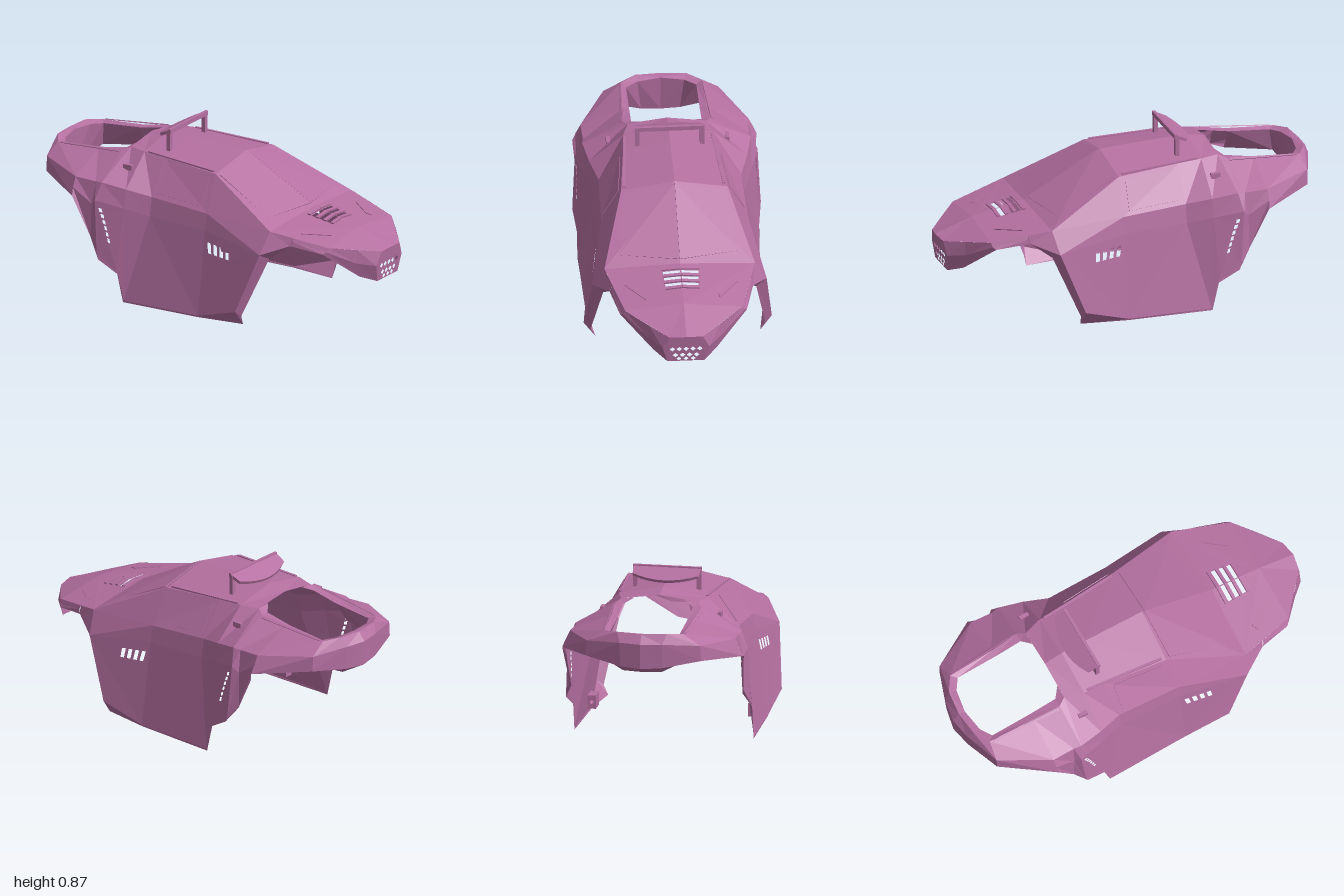
import * as THREE from 'three';

const paint = new THREE.MeshStandardMaterial({ color: 0xb570a1, side: THREE.DoubleSide, flatShading: true });
paint.name = 'mauvePaint';

const mix = (a, b, t) => a.map((v, i) => v + (b[i] - v) * t);
const across = (a, b, c, d, u, v) => mix(mix(a, b, u), mix(d, c, u), v);

// triangles of one four-cornered panel a-b-c-d, with optional holes given in its own 0..1 space
function cell(a, b, c, d, holes) {
  if (!holes) return [a, c, b, a, d, c];
  const shape = new THREE.Shape([[0, 0], [1, 0], [1, 1], [0, 1]].map(p => new THREE.Vector2(...p)));
  shape.holes = holes.map(h => new THREE.Path(h.map(p => new THREE.Vector2(...p))));
  const g = new THREE.ShapeGeometry(shape), pos = g.attributes.position, out = [];
  for (let i = 0; i < g.index.count; i += 3)
    for (const k of [0, 2, 1]) {
      const n = g.index.getX(i + k);
      out.push(across(a, b, c, d, pos.getX(n), pos.getY(n)));
    }
  return out;
}

// skin stretched over rails; holes are keyed by 'row,column'
function loft(rails, holes = {}) {
  const pts = [];
  for (let r = 0; r < rails.length - 1; r++)
    for (let i = 0; i < rails[r].length - 1; i++)
      pts.push(...cell(rails[r][i], rails[r][i + 1], rails[r + 1][i + 1], rails[r + 1][i], holes[r + ',' + i]));
  return pts;
}

// thin plate lying just above a panel; uv gives its corners within the panel
function plate(panel, uv, lift) {
  const low = uv.map(p => across(...panel, ...p));
  const [a, b, c, d] = low.map(p => new THREE.Vector3(...p));
  const n = c.sub(a).cross(b.sub(d)).normalize().multiplyScalar(lift);
  const top = low.map(p => p.map((v, i) => v + n.getComponent(i)));
  return [...cell(...top), ...loft([[...top, top[0]], [...low, low[0]]])];
}

function skin(pts, name, mirror) {
  const tris = [];
  for (let i = 0; i < pts.length; i += 3) {
    const t = [pts[i], pts[i + 1], pts[i + 2]].map(p => new THREE.Vector3(p[0], p[1], mirror ? -p[2] : p[2]));
    if (mirror) t.reverse();
    if (new THREE.Triangle(...t).getArea() > 1e-8) tris.push(...t);
  }
  const g = new THREE.BufferGeometry().setFromPoints(tris);
  g.computeVertexNormals();
  const m = new THREE.Mesh(g, paint);
  m.name = name;
  return m;
}

const slot = (u, v, w, h, lean = 0) => [[u, v], [u + w, v], [u + w + lean, v + h], [u + lean, v + h]];
const diamond = (u, v, r) => [[u - r, v], [u, v - r * 1.1], [u + r, v], [u, v + r * 1.1]];

export function createModel() {
  const group = new THREE.Group();
  group.name = 'vehicleShell';
  const both = (pts, name) => group.add(skin(pts, name + 'Left', false), skin(pts, name + 'Right', true));
  const box = (name, w, h, d, x, y, z, tilt = 0) => {
    const m = new THREE.Mesh(new THREE.BoxGeometry(w, h, d), paint);
    m.position.set(x, y, z);
    m.rotation.z = tilt;
    m.name = name;
    group.add(m);
    return m;
  };

  // main rails of the upper body, tail to nose
  const spine = [[-.46, .77, 0], [-.36, .79, 0], [-.23, .787, 0], [.11, .772, 0], [.52, .545, 0], [.8, .49, 0], [1, .42, 0]];
  const shoulder = [[-.46, .742, .2], [-.36, .742, .23], [-.23, .737, .24], [.1, .718, .273], [.5, .515, .386],
    [.8, .457, .3], [.985, .41, .085]];
  const chine = [[-.65, .612, .43], [-.53, .606, .425], [-.49, .61, .432], [-.36, .587, .405], [-.23, .56, .365],
    [.11, .537, .375], [.5, .515, .386], [.62, .492, .352]];

  // roof, windscreen and hood with three cross slots between raised louvres
  const hoodSlots = [.17, .32, .47].map(u => slot(u, .008, .08, .24, .008));
  both(loft([spine, shoulder], { '0,4': hoodSlots }), 'roofAndHood');
  both(plate([spine[3], spine[4], shoulder[4], shoulder[3]], [[.03, 0], [.95, 0], [.84, .84], [.05, .94]], .004), 'windscreen');
  const hood = [spine[4], spine[5], shoulder[5], shoulder[4]];
  for (const u of [.09, .255, .405, .555])
    both(plate(hood, [[u, 0], [u + .06, 0], [u + .068, .26], [u + .008, .26]], .008), 'hoodLouvre');
  both(plate(hood, [[.35, .73], [.72, .56], [.82, .6], [.42, .83]], .005), 'hoodIntake');
  both(loft([shoulder.slice(0, 5), chine.slice(2, 7)]), 'upperSide');
  both(plate([shoulder[2], shoulder[3], chine[5], chine[4]], [[.08, .12], [.9, .12], [.9, .88], [.08, .88]], .003), 'sideWindow');

  // side panels with vents, folded in at the front and bottom
  const mid = [[-.65, .56, .455], [-.54, .49, .448], [-.51, .52, .468], [-.36, .49, .425], [-.23, .46, .384],
    [.11, .45, .392], [.475, .4, .447], [.61, .452, .368]];
  const low = [[-.645, .52, .472], [-.545, .31, .452], [-.49, .24, .481], [-.38, .17, .466], [-.335, .01, .466],
    [.11, .008, .458], [.35, .08, .482], [.5, .37, .392]];
  const hem = [[-.63, .48, .455], [-.535, .29, .445], [-.48, .21, .483], [-.37, .145, .467], [-.34, 0, .466],
    [.11, 0, .455], [.36, 0, .422], [.365, .05, .447]];
  const doorVents = [.06, .175, .29, .405].map(u => slot(u, .12, .065, .125, .035));
  const rearVents = [0, 1, 2, 3, 4, 5].map(i => slot(.12 + i * .072, .12 + i * .095, .12, .065, .03));
  both(loft([chine, mid, low, hem], { '1,5': doorVents, '1,2': rearVents }), 'sidePanel');

  // nose cheeks
  const noseMid = [.975, .34, .12], noseLow = [.965, .25, .095];
  both(loft([
    [chine[7], shoulder[5], [.9, .432, .186], shoulder[6]],
    [[.62, .475, .36], [.795, .436, .312], [.9, .36, .19], noseMid],
    [mid[7], [.78, .425, .325], [.9, .282, .163], noseLow],
  ]), 'noseCheek');

  // nose face with diamond grille
  const flip = p => [p[0], p[1], -p[2]];
  const noseTop = shoulder[6];
  const grille = [];
  [[.5, 5], [.75, 4], [.905, 3]].forEach(([v, n], row) => {
    for (let i = 0; i < n; i++) grille.push(diamond(.5 + (i - (n - 1) / 2) * .195, v, row === 2 ? .072 : .08));
  });
  group.add(skin([...cell(noseTop, flip(noseTop), flip(noseLow), noseLow, grille), noseTop, flip(noseTop), spine[6]], 'noseGrille', false));
  both([noseTop, noseLow, noseMid], 'noseEdge');

  // tail ring around the rear opening
  const innerTop = [[-.46, .75, .13], [-.5, .725, .18], [-.65, .698, .18], [-.87, .68, .18], [-.91, .685, .12], [-.93, .69, 0]];
  const ridge = [shoulder[0], [-.5, .726, .225], [-.65, .703, .215], [-.9, .69, .205], [-.95, .7, .13], [-.965, .695, 0]];
  const outer = [chine[2], chine[1], chine[0], [-.91, .635, .295], [-.98, .65, .11], [-1, .65, 0]];
  const lower = [mid[2], mid[1], low[0], [-.91, .555, .3], [-.975, .525, .11], [-.997, .52, 0]];
  const under = [[-.5, .62, .3], [-.54, .6, .28], [-.65, .58, .26], [-.9, .55, .22], [-.94, .495, .1], [-.94, .49, 0]];
  const rev = rails => rails.map(r => [...r].reverse());
  both(loft(rev([innerTop, ridge, outer])), 'tailRingTop');
  // the front of the ring's flank drops onto the rear skirt
  both(loft(rev([outer, lower, under, innerTop].map(r => r.slice(2)))), 'tailRingUnderside');
  // raised rim beside the opening
  both(plate([ridge[3], ridge[1], outer[1], outer[3]], [[.05, .01], [.98, .01], [.98, .08], [.05, .08]], .004), 'tailRim');

  // roof strips, small rear hinges and wing posts
  for (const s of [1, -1]) {
    const strip = box('roofStrip', .42, .008, .014, -.13, .735, s * .24, -.045);
    strip.rotation.y = s * -.08;
    box('rearHinge', .05, .03, .02, -.41, .67, s * .305);
    box('wingPost', .022, .11, .023, -.25, .8, s * .166);
  }

  // roof wing: tilted blade with a bowed rear edge
  const blade = new THREE.Shape();
  blade.moveTo(-.178, 0);
  blade.lineTo(.178, 0);
  blade.lineTo(.17, .07);
  blade.quadraticCurveTo(0, .165, -.17, .07);
  const bladeGeo = new THREE.ExtrudeGeometry(blade, { depth: .016, bevelEnabled: false, curveSegments: 8 });
  bladeGeo.rotateX(-Math.PI / 2).rotateY(Math.PI / 2);
  const wing = new THREE.Mesh(bladeGeo, paint);
  wing.name = 'wingBlade';
  wing.position.set(-.235, .85, 0);
  wing.rotation.z = .42;
  group.add(wing);
  box('wingBar', .016, .023, .356, -.243, .856, 0);

  // inner mounting brackets with a bolt hole
  const face = new THREE.Shape([[-.022, -.035], [.022, -.035], [.022, .035], [-.022, .035]].map(p => new THREE.Vector2(...p)));
  face.holes.push(new THREE.Path().absarc(0, 0, .01, 0, Math.PI * 2, true));
  const bracketGeo = new THREE.ExtrudeGeometry(face, { depth: .09, bevelEnabled: false, curveSegments: 8 });
  bracketGeo.rotateY(Math.PI / 2);
  for (const s of [1, -1]) {
    const m = new THREE.Mesh(bracketGeo, paint);
    m.name = 'mountBracket';
    m.position.set(-.12, .09, s * .418);
    group.add(m);
  }
  return group;
}
